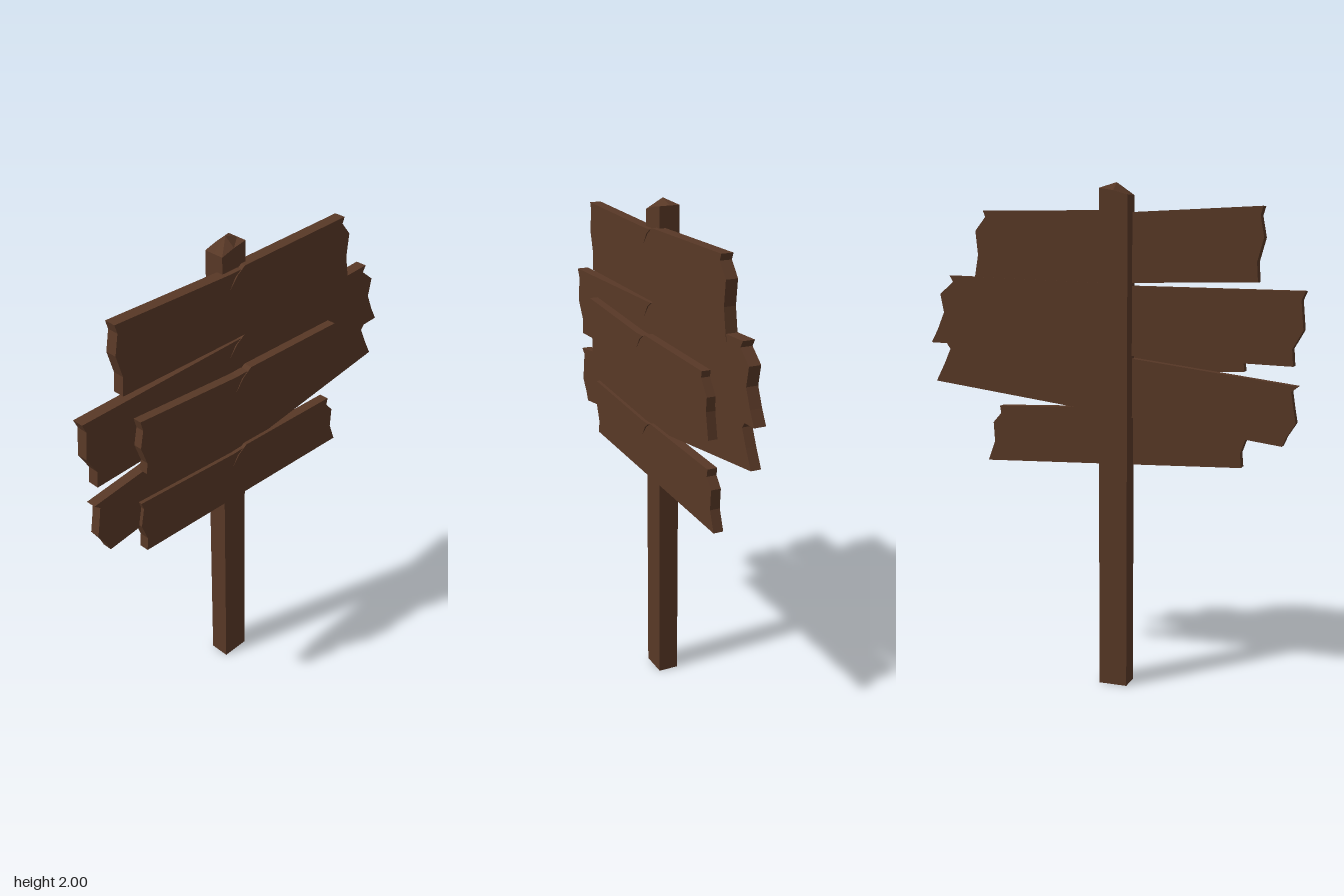
import * as THREE from 'three';

const wood = new THREE.MeshStandardMaterial({ color: 0x583826 });
wood.name = 'darkWood';

// Each plank: back z, thickness, and ragged ends listed top to bottom as [x, y];
// mid is the height of the top edge where the split begins.
const PLANKS = [
  { name: 'topPlank', z: -0.011, depth: 0.046, mid: 1.89,
    left: [[-0.615, 1.905], [-0.605, 1.87], [-0.62, 1.79], [-0.595, 1.7], [-0.6, 1.625]],
    right: [[0.53, 1.9], [0.52, 1.875], [0.565, 1.82], [0.555, 1.725], [0.575, 1.61]] },
  { name: 'upperPlank', z: -0.013, depth: 0.046, mid: 1.61,
    left: [[-0.78, 1.595], [-0.765, 1.56], [-0.775, 1.45], [-0.735, 1.38], [-0.74, 1.315]],
    right: [[0.685, 1.64], [0.67, 1.615], [0.73, 1.565], [0.715, 1.49], [0.745, 1.42], [0.775, 1.365]] },
  { name: 'frontPlank', z: 0.031, depth: 0.037, mid: 1.485,
    left: [[-0.56, 1.515], [-0.55, 1.475], [-0.565, 1.405], [-0.54, 1.33], [-0.545, 1.285]],
    right: [[0.465, 1.48], [0.46, 1.455], [0.505, 1.395], [0.5, 1.34], [0.52, 1.24]] },
  { name: 'tiltedPlank', z: -0.01, depth: 0.04, mid: 1.33,
    left: [[-0.76, 1.24], [-0.735, 1.22], [-0.745, 1.155], [-0.755, 1.1], [-0.72, 1.045], [-0.705, 1.01]],
    right: [[0.68, 1.42], [0.665, 1.4], [0.705, 1.36], [0.69, 1.34], [0.72, 1.275], [0.757, 1.205]] },
  { name: 'bottomPlank', z: 0.005, depth: 0.04, mid: 1.12,
    left: [[-0.56, 1.145], [-0.55, 1.115], [-0.565, 1.04], [-0.54, 0.97], [-0.545, 0.915]],
    right: [[0.475, 1.11], [0.47, 1.08], [0.505, 1.04], [0.5, 0.96], [0.53, 0.88]] },
];

// Board outline with a thin slanted split in its top edge
function makePlank({ name, z, depth, mid, left, right }) {
  const split = [[-0.012, mid + 0.006], [-0.05, mid - 0.02], [-0.09, mid - 0.068],
    [-0.06, mid - 0.022], [-0.03, mid - 0.002], [-0.085, mid - 0.003]];
  const outline = [...left, ...[...right].reverse(), ...split];
  const shape = new THREE.Shape(outline.map(([x, y]) => new THREE.Vector2(x, y)));
  const geometry = new THREE.ExtrudeGeometry(shape, { depth, bevelEnabled: false });
  geometry.translate(0, 0, z);
  const mesh = new THREE.Mesh(geometry, wood);
  mesh.name = name;
  return mesh;
}

// Square post whose top rises to a low, uneven point
function makePost() {
  const geometry = new THREE.BoxGeometry(0.116, 1.95, 0.083, 2, 1, 2);
  geometry.translate(-0.047, 0.975, -0.0265);
  const p = geometry.attributes.position;
  for (let i = 0; i < p.count; i++) {
    if (p.getY(i) < 1) continue;
    const side = Math.sign(Math.round((p.getX(i) + 0.047) * 100));
    const face = Math.sign(Math.round((p.getZ(i) + 0.0265) * 100));
    const edge = side > 0 ? 1.978 : side < 0 ? 1.952 : 1.968;
    p.setY(i, side === 0 && face === 0 ? 2 : edge);
  }
  const flat = geometry.toNonIndexed();
  flat.computeVertexNormals();
  const mesh = new THREE.Mesh(flat, wood);
  mesh.name = 'post';
  return mesh;
}

export function createModel() {
  const group = new THREE.Group();
  group.name = 'woodenSignpost';
  group.add(makePost(), ...PLANKS.map(makePlank));
  return group;
}
